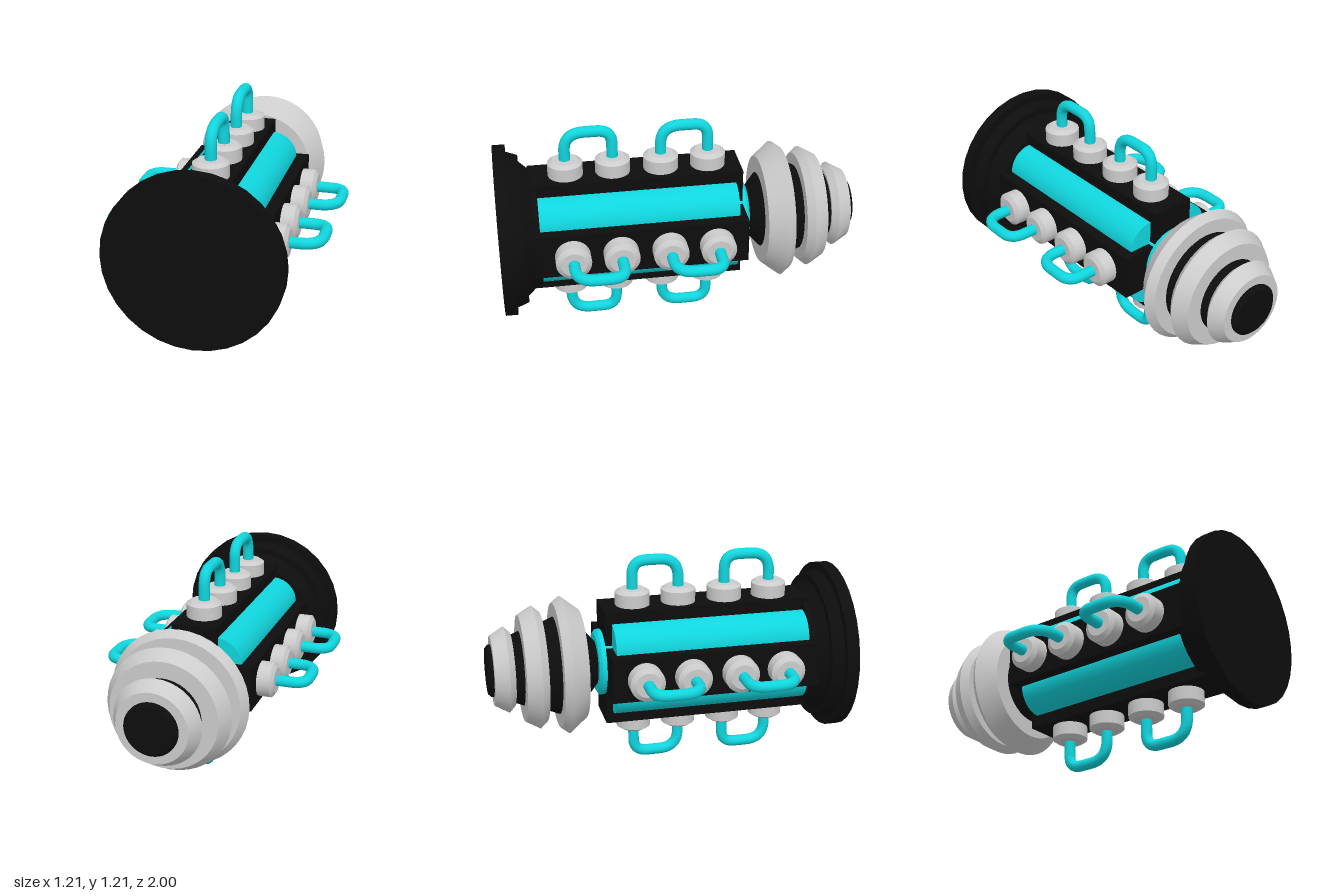
import * as THREE from 'three';
import { toCreasedNormals } from 'three/addons/utils/BufferGeometryUtils.js';

const black = new THREE.MeshStandardMaterial({ color: 0x0d0d0d });
const cyan = new THREE.MeshStandardMaterial({ color: 0x10d5dd });
const grey = new THREE.MeshStandardMaterial({ color: 0xcccccc });

function mesh(name, geometry, material) {
  const m = new THREE.Mesh(geometry, material);
  m.name = name;
  return m;
}

// Turned solid around y; profile is [radius, height], from low to high
function turned(profile, sides) {
  const points = profile.map(([r, h]) => new THREE.Vector2(r, h));
  return toCreasedNormals(new THREE.LatheGeometry(points, sides), 0.4);
}

// Turned solid lying along z
const turnedZ = (profile, sides = 32) => turned(profile, sides).rotateX(Math.PI / 2);

// Hose with rounded corners, from pod at z = a to pod at z = b
function hose(a, b) {
  const v = (y, z) => new THREE.Vector3(0, y, z);
  const low = 0.39, top = 0.575, ra = 0.11, rb = 0.08;
  const path = new THREE.CurvePath();
  path.add(new THREE.LineCurve3(v(low, a), v(top - ra, a)));
  path.add(new THREE.QuadraticBezierCurve3(v(top - ra, a), v(top, a), v(top, a - ra)));
  path.add(new THREE.LineCurve3(v(top, a - ra), v(top, b + rb)));
  path.add(new THREE.QuadraticBezierCurve3(v(top, b + rb), v(top, b), v(top - rb, b)));
  path.add(new THREE.LineCurve3(v(top - rb, b), v(low, b)));
  return new THREE.TubeGeometry(path, 40, 0.031, 14);
}

export function createModel() {
  const model = new THREE.Group();
  model.name = 'device';
  const body = new THREE.Group();
  body.name = 'body';
  body.position.y = 0.61;
  model.add(body);

  // Stepped base plate at the front
  body.add(mesh('baseFlange', turnedZ([
    [0, 0.78], [0.325, 0.78], [0.325, 0.805], [0.378, 0.865], [0.413, 0.865],
    [0.437, 0.93], [0.477, 0.93], [0.477, 1], [0, 1],
  ]), black));

  // Cross-shaped core
  const coreLength = 1.175, coreZ = 0.2325;
  for (const [w, h] of [[0.25, 0.654], [0.654, 0.25]]) {
    const arm = mesh('coreArm', new THREE.BoxGeometry(w, h, coreLength), black);
    arm.position.z = coreZ;
    body.add(arm);
  }

  // Four sides: a rounded cell in the corner, a row of pods and two hoses
  const podShape = turned([
    [0, 0.31], [0.085, 0.31], [0.097, 0.325], [0.097, 0.4], [0.07, 0.418], [0, 0.418],
  ], 28);
  const podZ = [0.614, 0.353, 0.086, -0.176];
  const cellShape = new THREE.CylinderGeometry(0.14, 0.14, 1.125, 32).rotateX(Math.PI / 2);
  const hoses = [hose(podZ[0], podZ[1]), hose(podZ[2], podZ[3])];
  for (let i = 0; i < 4; i++) {
    const side = new THREE.Group();
    side.name = 'side';
    side.rotation.z = i * Math.PI / 2;
    const cell = mesh('cell', cellShape, cyan);
    cell.position.set(0.12, 0.12, 0.2455);
    side.add(cell);
    for (const z of podZ) {
      const pod = mesh('pod', podShape, grey);
      pod.position.z = z;
      side.add(pod);
    }
    for (const h of hoses) side.add(mesh('hose', h, cyan));
    body.add(side);
  }

  // Collar between the core and the head
  body.add(mesh('collar', turnedZ([
    [0, -0.395], [0.165, -0.395], [0.185, -0.38], [0.185, -0.31], [0, -0.31],
  ]), cyan));

  // Tapering black head core
  body.add(mesh('headCore', turnedZ([
    [0, -1], [0.128, -1], [0.145, -0.985], [0.145, -0.96], [0.185, -0.865],
    [0.21, -0.805], [0.238, -0.7], [0.275, -0.61], [0.215, -0.475], [0.125, -0.395], [0, -0.38],
  ], 40), black));

  // Three bevelled rings: [back z, radius, ridge z, radius, front z, radius]
  const rings = [
    [-0.615, 0.35, -0.57, 0.385, -0.472, 0.307],
    [-0.81, 0.297, -0.73, 0.343, -0.69, 0.308],
    [-0.97, 0.195, -0.892, 0.24, -0.858, 0.205],
  ];
  for (const [z0, r0, z1, r1, z2, r2] of rings) {
    body.add(mesh('headRing', turnedZ([
      [0.1, z0], [r0, z0], [r1, z1], [r2, z2], [0.1, z2],
    ], 40), grey));
  }
  return model;
}
